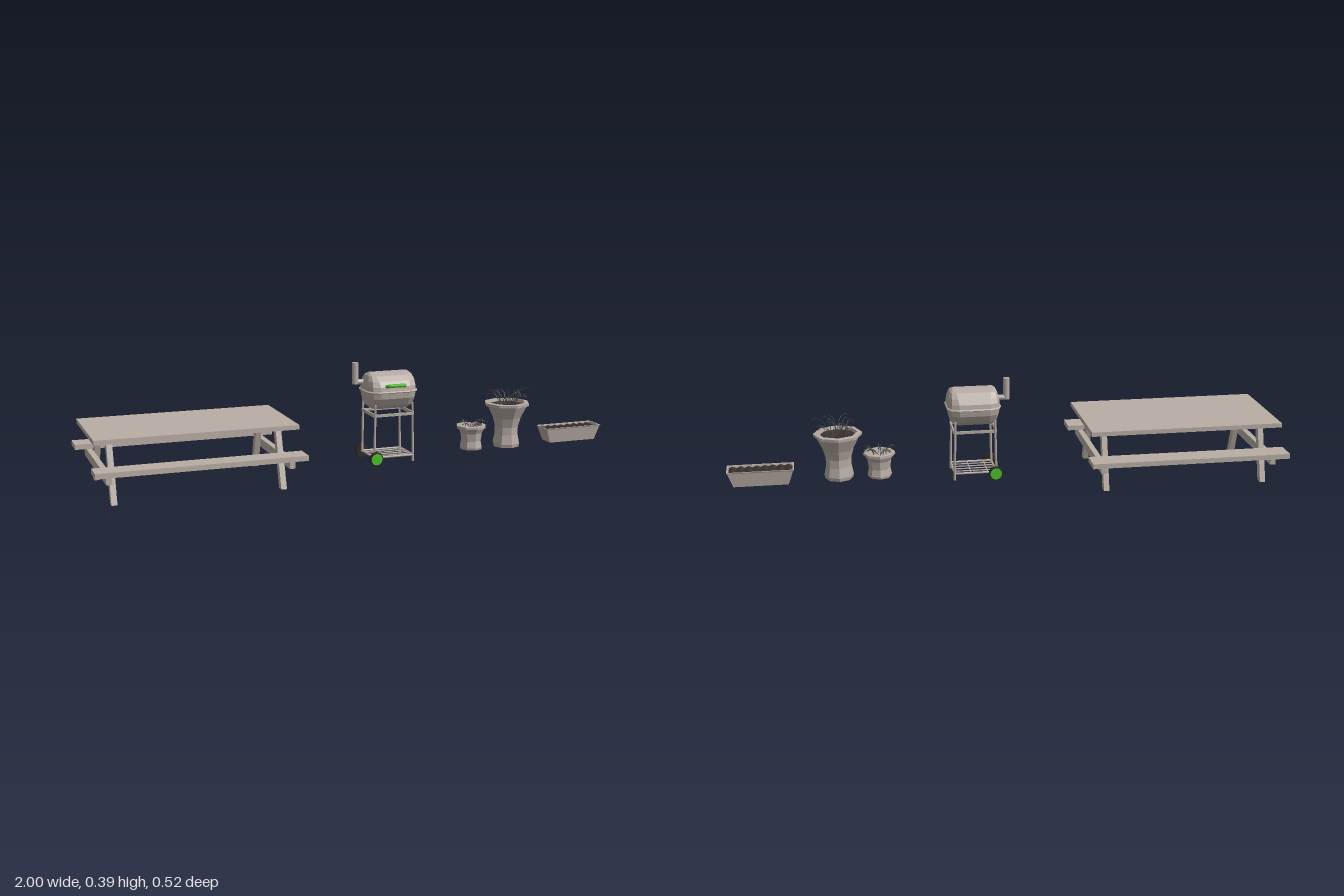
import * as THREE from 'three';

const mat = (name, color, double) => {
  const m = new THREE.MeshStandardMaterial({ color });
  m.name = name;
  if (double) m.side = THREE.DoubleSide;
  return m;
};
const V = (x, y, z) => new THREE.Vector3(x, y, z);

export function createModel() {
  const wood = mat('pale wood', 0xb8aea4);
  const metal = mat('warm grey', 0xb5aaa3, true);
  const soil = mat('dark soil', 0x3b302d);
  const rubber = mat('rubber', 0x2f2826);
  const green = mat('green plastic', 0x4cc02c);
  const twig = mat('dark twig', 0x494b45, true);

  const model = new THREE.Group();
  model.name = 'gardenSet';
  const group = (name) => {
    const g = new THREE.Group();
    g.name = name;
    model.add(g);
    return g;
  };
  const add = (parent, name, geo, material) => {
    const m = new THREE.Mesh(geo, material);
    m.name = name;
    parent.add(m);
    return m;
  };
  // box given by its lower and upper limits
  const box = (parent, name, material, x0, x1, y0, y1, z0, z1) => {
    const m = add(parent, name, new THREE.BoxGeometry(x1 - x0, y1 - y0, z1 - z0), material);
    m.position.set((x0 + x1) / 2, (y0 + y1) / 2, (z0 + z1) / 2);
    return m;
  };
  // straight round bar between two points
  const rod = (parent, name, material, a, b, r, sides = 8) => {
    const d = b.clone().sub(a);
    const m = add(parent, name, new THREE.CylinderGeometry(r, r, d.length(), sides), material);
    m.position.copy(a).add(b).multiplyScalar(0.5);
    m.quaternion.setFromUnitVectors(V(0, 1, 0), d.normalize());
    return m;
  };
  const facet = (geo) => {
    const g = geo.index ? geo.toNonIndexed() : geo;
    g.computeVertexNormals();
    return g;
  };
  // stacked rectangles [y, halfX, halfZ], corners cut by a share of the short side
  const loft = (rings, cut, capTop = true) => {
    const loops = rings.map(([y, hx, hz]) => {
      const c = cut * Math.min(hx, hz), pts = [];
      [[1, 1], [-1, 1], [-1, -1], [1, -1]].forEach(([sx, sz], i) => {
        const corner = cut
          ? [[hx, hz - c], [hx - c * 0.3, hz - c * 0.3], [hx - c, hz]]
          : [[hx, hz]];
        if (i % 2) corner.reverse();
        corner.forEach(([x, z]) => pts.push(V(sx * x, y, sz * z)));
      });
      return pts;
    });
    const tris = [], n = loops[0].length, last = loops.length - 1;
    for (let i = 0; i < n; i++) {
      const j = (i + 1) % n;
      for (let k = 0; k < last; k++) {
        const [a, b, c, d] = [loops[k][i], loops[k][j], loops[k + 1][i], loops[k + 1][j]];
        tris.push(a, c, b, b, c, d);
      }
      tris.push(V(0, rings[0][0], 0), loops[0][i], loops[0][j]);
      if (capTop) tris.push(V(0, rings[last][0], 0), loops[last][j], loops[last][i]);
    }
    return facet(new THREE.BufferGeometry().setFromPoints(tris));
  };

  // picnic table with two benches
  const table = group('picnicTable');
  box(table, 'tableTop', wood, -0.99, -0.287, 0.207, 0.223, -0.187, 0.187);
  for (const s of [-1, 1]) {
    box(table, 'bench', wood, -1, -0.277, 0.112, 0.13, s * 0.22 - 0.04, s * 0.22 + 0.04);
    const leg = new THREE.Shape([[0.19, 0], [0.162, 0], [0.099, 0.207], [0.127, 0.207]]
      .map(([z, y]) => new THREE.Vector2(s * z, y)));
    for (const x of [-0.94, -0.355]) {
      const geo = new THREE.ExtrudeGeometry(leg, { depth: 0.02, bevelEnabled: false });
      geo.rotateY(-Math.PI / 2).translate(x + 0.02, 0, 0);
      add(table, 'tableLeg', geo, wood);
    }
  }
  for (const x of [-0.96, -0.335]) box(table, 'crossBeam', wood, x, x + 0.02, 0.08, 0.112, -0.226, 0.226);

  // grill: bowl, rim and lid
  const grill = group('grill'), gx = 0.115;
  const shell = (name, rings) => { add(grill, name, loft(rings, 0.5), metal).position.x = gx; };
  shell('bowl', [[0.225, 0.07, 0.038], [0.239, 0.084, 0.056], [0.266, 0.091, 0.073], [0.289, 0.094, 0.077]]);
  shell('rim', [[0.287, 0.095, 0.077], [0.29, 0.099, 0.082], [0.294, 0.095, 0.077]]);
  shell('lid', [[0.291, 0.094, 0.077], [0.31, 0.093, 0.074], [0.329, 0.09, 0.063],
    [0.346, 0.084, 0.043], [0.356, 0.074, 0.012]]);

  // lid handle
  const grip = new THREE.CatmullRomCurve3([V(0.083, 0.311, 0.068), V(0.084, 0.316, 0.088),
    V(0.092, 0.317, 0.091), V(0.138, 0.317, 0.091), V(0.146, 0.316, 0.088), V(0.147, 0.311, 0.068)]);
  add(grill, 'lidHandle', new THREE.TubeGeometry(grip, 24, 0.0065, 8), green);

  // chimney with its elbow
  rod(grill, 'chimney', metal, V(-0.005, 0.312, -0.022), V(-0.005, 0.391, -0.022), 0.0115, 12);
  rod(grill, 'chimneyElbow', metal, V(-0.005, 0.319, -0.022), V(0.04, 0.319, -0.022), 0.01, 12);

  // frame legs, rails, wheels and the lower rack
  const xl = 0.038, xr = 0.19;
  for (const s of [-1, 1]) {
    const z = s * 0.063;
    rod(grill, 'wheelLeg', metal, V(xl, 0.045, z), V(xl + 0.004, 0.246, z), 0.0045);
    rod(grill, 'frontLeg', metal, V(xr, 0.026, z), V(xr - 0.004, 0.246, z), 0.0045);
    rod(grill, 'rackRail', metal, V(xl, 0.05, z), V(xr, 0.05, z), 0.004);
    box(grill, 'sideRail', metal, xl, xr, 0.2, 0.21, z - 0.003, z + 0.003);
    const tyre = add(grill, 'tyre', new THREE.CylinderGeometry(0.025, 0.025, 0.014, 16), rubber);
    tyre.rotation.x = Math.PI / 2;
    tyre.position.set(0.041, 0.048, s * 0.075);
    const hub = add(grill, 'wheelCap', new THREE.CylinderGeometry(0.021, 0.021, 0.002, 16), green);
    hub.rotation.x = Math.PI / 2;
    hub.position.set(0.041, 0.048, s * 0.0825);
  }
  for (const x of [xl, xr]) {
    rod(grill, 'endRail', metal, V(x, 0.05, -0.063), V(x, 0.05, 0.063), 0.004);
    box(grill, 'bowlSupport', metal, x - 0.003, x + 0.003, 0.2, 0.212, -0.063, 0.063);
  }
  for (let i = 1; i < 5; i++) {
    const z = -0.063 + i * 0.0252, x = xl + i * (xr - xl) / 5;
    rod(grill, 'rackBar', metal, V(xl, 0.05, z), V(xr, 0.05, z), 0.0025, 6);
    if (i % 2) rod(grill, 'rackCrossBar', metal, V(x, 0.049, -0.063), V(x, 0.049, 0.063), 0.0025, 6);
  }

  // eight-sided pots with twiggy plants
  let seed = 7;
  const rand = () => (seed = (seed * 16807) % 2147483647) / 2147483647;
  const pot = (name, x, z, profile, fill, fillY, fillR, count, reach, height) => {
    const g = group(name);
    g.position.set(x, 0, z);
    add(g, 'potBody', facet(new THREE.LatheGeometry(profile.map((p) => new THREE.Vector2(...p)), 8)), metal);
    const top = add(g, 'potFill', new THREE.CircleGeometry(fillR, 8), fill);
    top.rotation.x = -Math.PI / 2;
    top.position.y = fillY;
    for (let i = 0; i < count; i++) {
      const a = i * 2.4 + rand(), r0 = rand() * fillR * 0.6, r1 = r0 + (0.35 + 0.65 * rand()) * (reach - r0);
      const h = height * (0.45 + 0.55 * rand()), bend = rand() - 0.5;
      const at = (r, y, t) => V(r * Math.cos(a + t), fillY + y, r * Math.sin(a + t));
      const path = new THREE.CatmullRomCurve3([at(r0, 0, 0), at(r0 + (r1 - r0) * 0.3, h * 0.75, bend * 0.4),
        at(r0 + (r1 - r0) * 0.65, h, bend * 0.8), at(r1, h * (0.5 + 0.4 * rand()), bend)]);
      add(g, 'twig', new THREE.TubeGeometry(path, 8, 0.001, 4), twig);
      for (const t of [0.55, 0.75, 0.95]) {
        const leaf = add(g, 'leaf', new THREE.CircleGeometry(0.0035, 4), twig);
        leaf.scale.set(0.5, 1.2, 1);
        leaf.position.copy(path.getPoint(t));
        leaf.rotation.set(rand() * 3, rand() * 3, rand() * 3);
      }
    }
  };
  pot('largePot', 0.603, 0, [[0, 0.037], [0.05, 0.037], [0.053, 0.05], [0.046, 0.085], [0.046, 0.115],
    [0.056, 0.15], [0.078, 0.194], [0.087, 0.197], [0.0875, 0.207], [0.071, 0.209], [0.067, 0.193]],
  soil, 0.198, 0.069, 22, 0.108, 0.066);
  pot('smallPot', 0.457, -0.005, [[0, 0.037], [0.042, 0.037], [0.044, 0.045], [0.039, 0.07], [0.043, 0.1],
    [0.052, 0.117], [0.058, 0.119], [0.058, 0.128], [0.045, 0.129], [0.042, 0.116]],
  metal, 0.119, 0.0435, 14, 0.068, 0.033);

  // window box with furrowed soil
  const planter = group('windowBox');
  planter.position.set(0.881, 0, -0.013);
  add(planter, 'boxBody', loft([[0.037, 0.097, 0.032], [0.089, 0.115, 0.04], [0.094, 0.119, 0.042],
    [0.094, 0.114, 0.037], [0.08, 0.111, 0.035]], 0, false), metal);
  const bed = new THREE.PlaneGeometry(0.226, 0.072, 16, 4).rotateX(-Math.PI / 2);
  const p = bed.attributes.position;
  for (let i = 0; i < p.count; i++) p.setY(i, 0.086 + ((i % 17) % 2 ? 0.004 : -0.002) + rand() * 0.002);
  add(planter, 'boxSoil', facet(bed), soil);

  return model;
}
